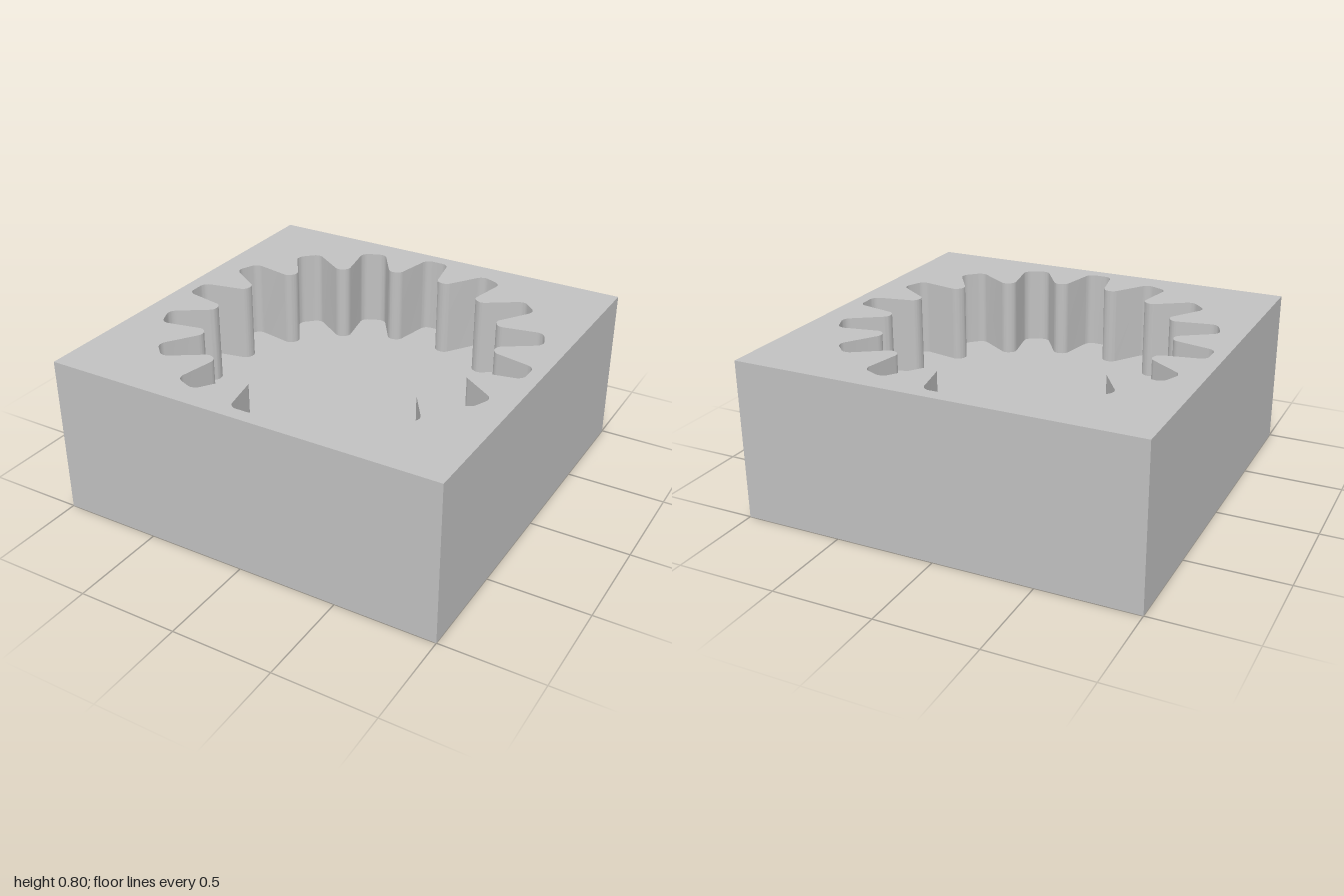
import * as THREE from 'three';
import { toCreasedNormals } from 'three/addons/utils/BufferGeometryUtils.js';

const TEETH = 16, HEIGHT = 0.8, FLOOR = 0.4;

// Corners of the toothed outline: two outer corners per gap, two inner per tooth.
function gearCorners() {
  const corners = [];
  const add = (angle, radial, side, fillet) => {
    const p = new THREE.Vector2(radial, side).rotateAround(new THREE.Vector2(), angle);
    corners.push({ p, fillet });
  };
  for (let i = 0; i < TEETH; i++) {
    const gap = (i * 2 * Math.PI) / TEETH;
    const tooth = gap + Math.PI / TEETH;
    add(gap, 0.93, -0.064, 0.045);
    add(gap, 0.93, 0.064, 0.045);
    add(tooth, 0.712, -0.03, 0.04);
    add(tooth, 0.712, 0.03, 0.04);
  }
  return corners;
}

// Round every corner with a circular arc.
function roundedOutline(corners, steps = 8) {
  const points = [];
  const n = corners.length;
  corners.forEach(({ p, fillet }, i) => {
    const a = corners[(i + n - 1) % n].p.clone().sub(p).normalize();
    const b = corners[(i + 1) % n].p.clone().sub(p).normalize();
    const half = Math.acos(a.dot(b)) / 2;
    const centre = p.clone().addScaledVector(a.clone().add(b).normalize(), fillet / Math.sin(half));
    const tangent = fillet / Math.tan(half);
    const from = p.clone().addScaledVector(a, tangent).sub(centre);
    const to = p.clone().addScaledVector(b, tangent).sub(centre);
    const sweep = Math.atan2(from.cross(to), from.dot(to));
    for (let s = 0; s <= steps; s++) {
      points.push(from.clone().rotateAround(new THREE.Vector2(), (sweep * s) / steps).add(centre));
    }
  });
  return points;
}

// Inward-facing vertical wall following a counterclockwise outline.
function wallGeometry(points, low, high) {
  const pos = [];
  points.forEach((a, i) => {
    const b = points[(i + 1) % points.length];
    pos.push(b.x, b.y, low, a.x, a.y, low, a.x, a.y, high);
    pos.push(b.x, b.y, low, a.x, a.y, high, b.x, b.y, high);
  });
  const geo = new THREE.BufferGeometry();
  geo.setAttribute('position', new THREE.Float32BufferAttribute(pos, 3));
  return toCreasedNormals(geo, 0.5);
}

export function createModel() {
  const group = new THREE.Group();
  const grey = new THREE.MeshStandardMaterial({ color: 0xc0c0c0 });
  grey.name = 'light grey';
  const add = (name, geometry) => {
    const mesh = new THREE.Mesh(geometry, grey);
    mesh.name = name;
    group.add(mesh);
    return mesh;
  };

  const outline = roundedOutline(gearCorners());

  // Block sides and underside: a box with its top face left out
  const block = new THREE.BoxGeometry(2, HEIGHT, 2).translate(0, HEIGHT / 2, 0);
  const index = Array.from(block.index.array);
  index.splice(block.groups[2].start, block.groups[2].count);
  block.setIndex(index);
  block.clearGroups();
  add('block', block);

  // Top face with the toothed opening
  const square = new THREE.Shape([[-1, -1], [1, -1], [1, 1], [-1, 1]].map(([x, y]) => new THREE.Vector2(x, y)));
  square.holes.push(new THREE.Path(outline));
  add('topFace', new THREE.ShapeGeometry(square).rotateX(-Math.PI / 2).translate(0, HEIGHT, 0));

  // Pocket walls and floor
  add('pocketWall', wallGeometry(outline, FLOOR, HEIGHT).rotateX(-Math.PI / 2));
  add('pocketFloor', new THREE.ShapeGeometry(new THREE.Shape(outline)).rotateX(-Math.PI / 2).translate(0, FLOOR, 0));

  return group;
}
